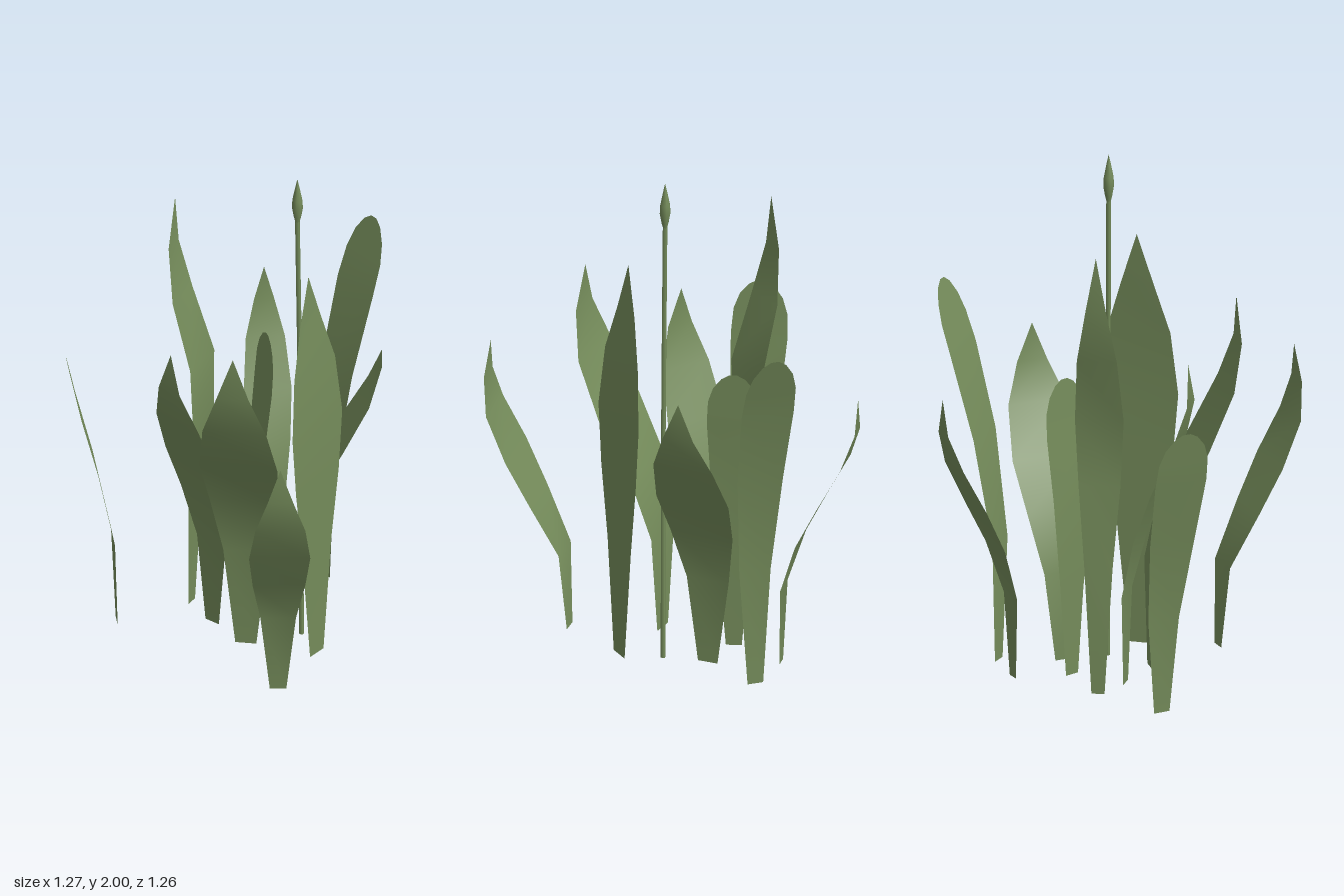
import * as THREE from 'three';

// Blade outlines: [fraction of height, fraction of half width]
const POINTED = [[0, 0.27], [0.28, 0.58], [0.46, 0.86], [0.61, 1], [0.76, 0.82], [0.88, 0.42], [1, 0]];
const ROUND = [[0, 0.3], [0.32, 0.6], [0.6, 0.87], [0.82, 1], [0.9, 0.95], [0.95, 0.76], [0.985, 0.45], [1, 0.15]];
const ROUND_BENDS = [0, 0.32, 0.6, 0.82, 1];

// Linear interpolation through matching lists of stations and values
function sample(stations, values, t) {
  const i = Math.max(1, stations.findIndex((s) => s >= t));
  const f = (t - stations[i - 1]) / (stations[i] - stations[i - 1]);
  return THREE.MathUtils.lerp(values[i - 1], values[i], f);
}

// Flat blade that leans from its base along a compass angle (degrees from +x towards +z);
// bends are the lean distances at successive stations up the blade
function leafGeometry(outline, baseX, baseZ, leanDegrees, height, halfWidth, bends) {
  const a = THREE.MathUtils.degToRad(leanDegrees);
  const lx = Math.cos(a), lz = Math.sin(a);
  const stations = outline === ROUND ? ROUND_BENDS : POINTED.map(([t]) => t);
  const pos = [], index = [];
  outline.forEach(([t, w], i) => {
    const lean = sample(stations, [0, ...bends], t);
    const x = baseX + lx * lean, z = baseZ + lz * lean;
    const y = THREE.MathUtils.lerp(0.01, height, t);
    const dx = lz * w * halfWidth, dz = -lx * w * halfWidth;
    pos.push(x - dx, y, z - dz);
    if (w > 0) pos.push(x + dx, y, z + dz);
    if (i === 0) return;
    const k = (i - 1) * 2;
    index.push(k, k + 1, k + 2);
    if (w > 0) index.push(k + 1, k + 3, k + 2);
  });
  const g = new THREE.BufferGeometry();
  g.setAttribute('position', new THREE.Float32BufferAttribute(pos, 3));
  g.setIndex(index);
  g.computeVertexNormals();
  return g;
}

export function createModel() {
  const group = new THREE.Group();
  group.name = 'leafyPlant';
  const green = new THREE.MeshStandardMaterial({ color: 0x748b5a, side: THREE.DoubleSide });
  green.name = 'leafGreen';

  const add = (name, geometry) => {
    const mesh = new THREE.Mesh(geometry, green);
    mesh.name = name;
    group.add(mesh);
    return mesh;
  };
  const leaf = (name, ...shape) => add(name, leafGeometry(...shape));

  // Round-tipped leaves
  leaf('frontRightRoundLeaf', ROUND, -0.41, 0.44, 120, 1.175, 0.11, [0.014, 0.08, 0.145, 0.19]);
  leaf('backRoundLeaf', ROUND, -0.213, -0.385, -93, 1.49, 0.103, [-0.005, 0.06, 0.15, 0.24]);
  leaf('innerRoundLeaf', ROUND, -0.215, -0.065, -72, 1.175, 0.1, [0, 0.005, 0.03, 0.045]);

  // Pointed leaves
  leaf('frontLeaf', POINTED, -0.193, 0.155, 76, 1.3, 0.12, [0.005, 0.06, 0.13, 0.21, 0.255, 0.245]);
  leaf('centreFrontLeaf', POINTED, 0.005, 0.145, 45, 1.46, 0.148, [0, 0.07, 0.19, 0.295, 0.34, 0.335]);
  leaf('frontLeftLeaf', POINTED, 0.34, 0.243, 35, 1.165, 0.115, [0.02, 0.125, 0.215, 0.3, 0.325, 0.315]);
  leaf('rightTallLeaf', POINTED, -0.355, 0.13, 156, 1.77, 0.092, [-0.015, -0.05, -0.045, 0.04, 0.078, 0.072]);
  leaf('leftTallLeaf', POINTED, 0.22, -0.027, 165, 1.65, 0.15, [0, -0.003, -0.003, 0.01, 0.03, 0.04]);
  leaf('centreBackLeaf', POINTED, -0.085, -0.172, -54, 1.25, 0.145, [0, 0.065, 0.16, 0.26, 0.31, 0.31]);
  leaf('backRightLeaf', POINTED, -0.352, -0.242, 211, 1.165, 0.09, [0.01, 0.075, 0.16, 0.25, 0.297, 0.3]);

  // Flower stalk, leaning very slightly
  const stalkPath = new THREE.CatmullRomCurve3([
    new THREE.Vector3(0.062, 0, -0.073), new THREE.Vector3(0.06, 0.9, -0.07), new THREE.Vector3(0.051, 1.82, -0.062)]);
  add('stalk', new THREE.TubeGeometry(stalkPath, 6, 0.009, 6));

  // Closed bud on top
  const profile = [[0.005, 0], [0.014, 0.035], [0.021, 0.075], [0.019, 0.11], [0.009, 0.16], [0, 0.2]]
    .map(([r, y]) => new THREE.Vector2(r, y));
  add('bud', new THREE.LatheGeometry(profile, 8)).position.set(0.051, 1.8, -0.062);

  return group;
}
